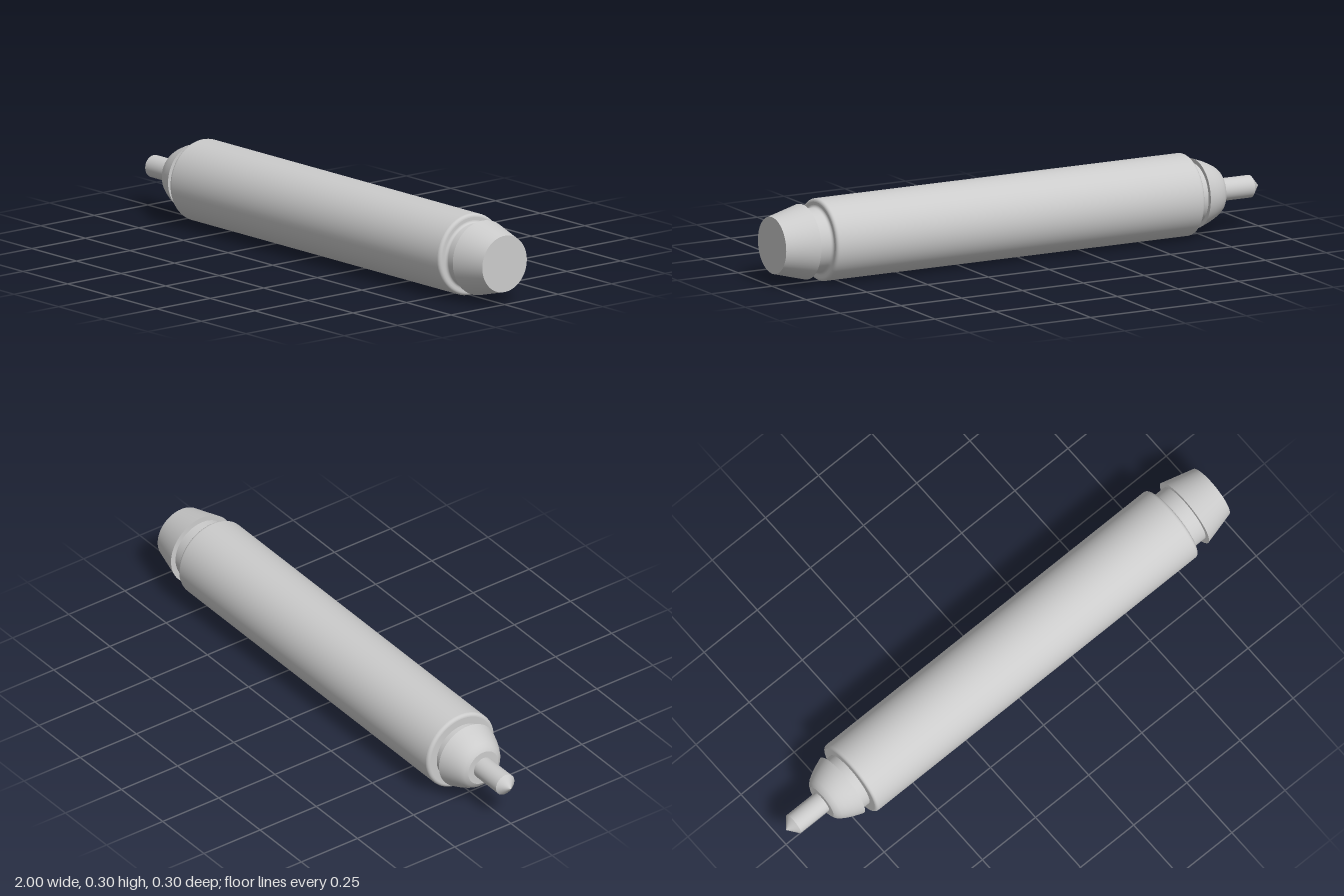
import * as THREE from 'three';
import { mergeGeometries } from 'three/addons/utils/BufferGeometryUtils.js';

const AXIS_Y = 0.15;
const SIDES = 64;

// Quarter-round points between two angles, as [x, radius]
function arc(cx, cr, rx, rr, from, to, steps = 6) {
  return Array.from({ length: steps + 1 }, (_, i) => {
    const a = from + ((to - from) * i) / steps;
    return [cx + rx * Math.cos(a), cr + rr * Math.sin(a)];
  });
}

// Revolves strips of [x, radius] points about the x axis; edges between strips stay sharp
function turned(name, strips, material) {
  const parts = strips.map((strip) =>
    new THREE.LatheGeometry(strip.map(([x, r]) => new THREE.Vector2(Math.max(r, 0), x)), SIDES));
  const geometry = mergeGeometries(parts);
  geometry.rotateZ(-Math.PI / 2);
  const mesh = new THREE.Mesh(geometry, material);
  mesh.name = name;
  mesh.position.y = AXIS_Y;
  return mesh;
}

export function createModel() {
  const group = new THREE.Group();
  group.name = 'turnedPin';
  const material = new THREE.MeshStandardMaterial({ color: 0xcccccc });
  const H = Math.PI / 2;

  // Thin pin with a pointed end
  group.add(turned('tipPin', [
    [[-1, 0], [-0.965, 0.041]],
    [[-0.965, 0.041], [-0.825, 0.041]],
  ], material));

  // Domed nose with a flat front and a sharp rear shoulder
  group.add(turned('nose', [
    [[-0.832, 0.03], [-0.832, 0.066]],
    [[-0.832, 0.066], [-0.825, 0.08], [-0.812, 0.091], [-0.795, 0.101], [-0.77, 0.113], [-0.735, 0.126]],
    [[-0.735, 0.126], [-0.735, 0.11]],
  ], material));

  // Narrow neck behind the nose
  group.add(turned('frontNeck', [[[-0.737, 0.11], [-0.695, 0.11]]], material));

  // Main barrel with rounded rims
  group.add(turned('barrel', [
    [[-0.7, 0.1], [-0.7, 0.138]],
    arc(-0.688, 0.138, 0.012, 0.012, Math.PI, H),
    [[-0.688, 0.15], [0.803, 0.15]],
    arc(0.803, 0.138, 0.012, 0.012, H, 0),
    [[0.815, 0.138], [0.815, 0.125]],
  ], material));

  // Rear neck with a small fillet against the barrel
  group.add(turned('rearNeck', [
    [...arc(0.825, 0.127, 0.01, 0.01, Math.PI, 1.5 * Math.PI), [0.876, 0.117]],
  ], material));

  // Tapered end cap
  group.add(turned('endCap', [
    [[0.874, 0.11], [0.874, 0.137]],
    [[0.874, 0.137], [1, 0.104]],
    [[1, 0.104], [1, 0]],
  ], material));

  return group;
}
